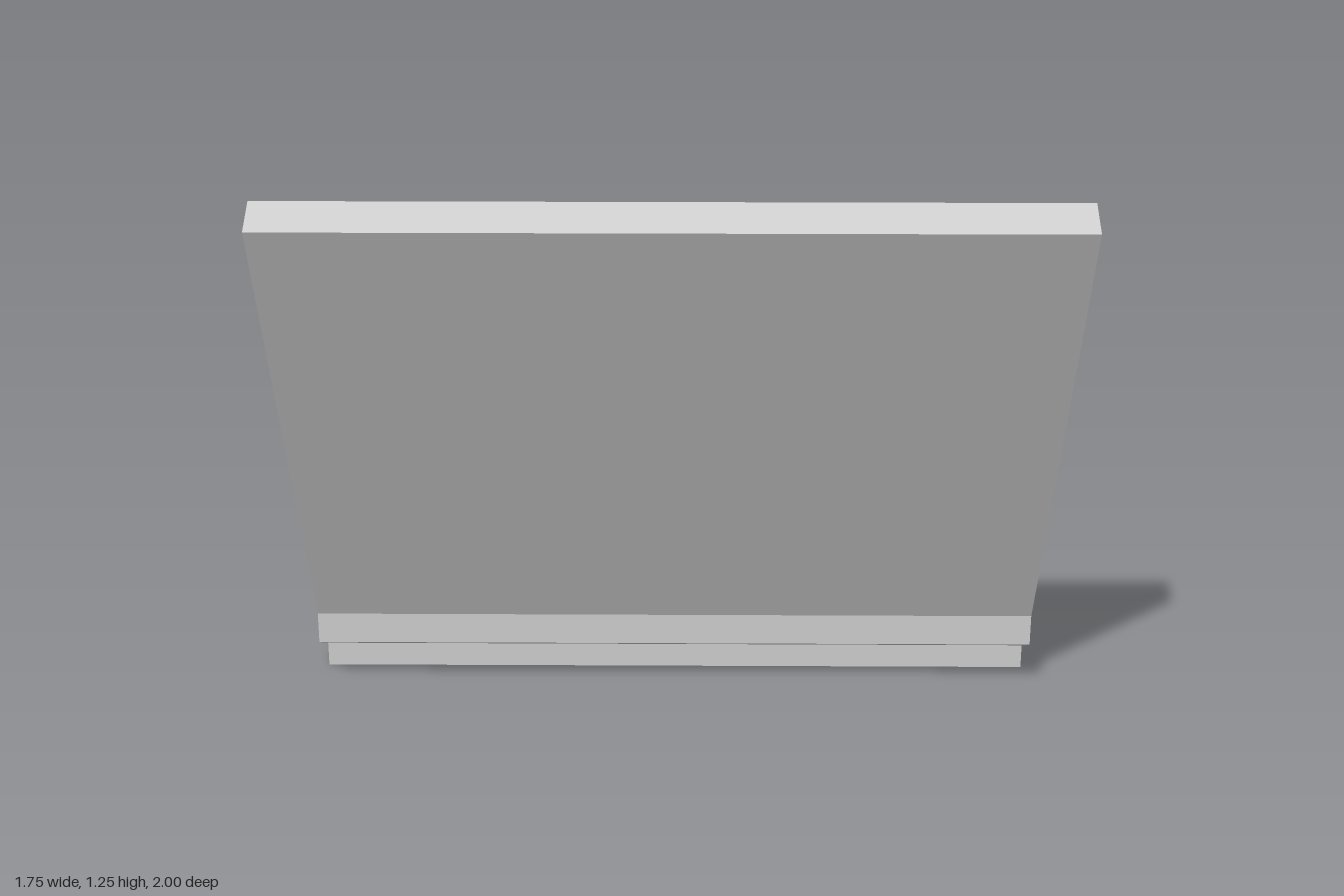
import * as THREE from 'three';

const material = new THREE.MeshStandardMaterial({ color: 0xcccccc, flatShading: true });

const HALF_WIDTH = 0.757;
const BASE_TOP = 0.145;

function addMesh(parent, name, geometry, x = 0, y = 0, z = 0) {
  const mesh = new THREE.Mesh(geometry, material);
  mesh.name = name;
  mesh.position.set(x, y, z);
  parent.add(mesh);
  return mesh;
}

// Box given by its minimum and maximum corners
function addBox(parent, name, [x0, y0, z0], [x1, y1, z1]) {
  const geometry = new THREE.BoxGeometry(x1 - x0, y1 - y0, z1 - z0);
  return addMesh(parent, name, geometry, (x0 + x1) / 2, (y0 + y1) / 2, (z0 + z1) / 2);
}

function rectanglePath(PathClass, x0, y0, x1, y1) {
  return new PathClass([
    new THREE.Vector2(x0, y0), new THREE.Vector2(x1, y0),
    new THREE.Vector2(x1, y1), new THREE.Vector2(x0, y1),
  ]);
}

function createKeyboard() {
  const keyboard = new THREE.Group();
  keyboard.name = 'keyboard';
  const size = 0.196;
  for (const z of [-0.408, -0.15, 0.111]) {
    for (const x of [-0.598, -0.303, -0.017, 0.269, 0.549]) {
      addBox(keyboard, 'key',
        [x - size / 2, BASE_TOP - 0.02, z - size / 2],
        [x + size / 2, 0.18, z + size / 2]);
    }
  }
  return keyboard;
}

// Lid stands on the hinge axis: local y runs up the lid, local -z faces the keyboard
function createLid() {
  const lid = new THREE.Group();
  lid.name = 'lid';
  const bottom = 0.03, top = 1.22, half = 0.039, recess = 0.045;

  // Bezel frame around the recessed screen
  const frame = rectanglePath(THREE.Shape, -HALF_WIDTH, bottom, HALF_WIDTH, top);
  frame.holes.push(rectanglePath(THREE.Path, -0.644, 0.163, 0.644, 1.09));
  const bezel = new THREE.ExtrudeGeometry(frame, { depth: recess, bevelEnabled: false });
  addMesh(lid, 'screenBezel', bezel, 0, 0, -half);

  // Back panel, whose inner face is the screen
  addBox(lid, 'screenPanel', [-HALF_WIDTH, bottom, recess - half], [HALF_WIDTH, top, half]);

  lid.rotation.x = THREE.MathUtils.degToRad(27);
  return lid;
}

export function createModel() {
  const model = new THREE.Group();
  model.name = 'laptop';

  // Base, keys and touchpad
  addBox(model, 'base', [-HALF_WIDTH, 0, -0.905], [HALF_WIDTH, BASE_TOP, 0.27]);
  model.add(createKeyboard());
  addBox(model, 'touchpad', [-0.237, BASE_TOP - 0.02, -0.846], [0.207, 0.167, -0.563]);

  // Six-sided hinge bar with a corner pointing up
  const bar = new THREE.CylinderGeometry(0.07, 0.07, HALF_WIDTH * 2, 6);
  bar.rotateZ(Math.PI / 2);
  bar.rotateX(Math.PI / 2);
  const hinge = new THREE.Group();
  hinge.name = 'hinge';
  hinge.position.set(0, 0.15, 0.318);
  const corners = bar.attributes.position;
  let highest = 0;
  for (let i = 0; i < corners.count; i++) highest = Math.max(highest, corners.getY(i));
  if (highest < 0.069) bar.rotateX(Math.PI / 6);
  addMesh(hinge, 'hingeBar', bar);
  hinge.add(createLid());
  model.add(hinge);

  // The whole laptop is turned slightly
  model.rotation.y = -0.136;
  const root = new THREE.Group();
  root.add(model);
  return root;
}
